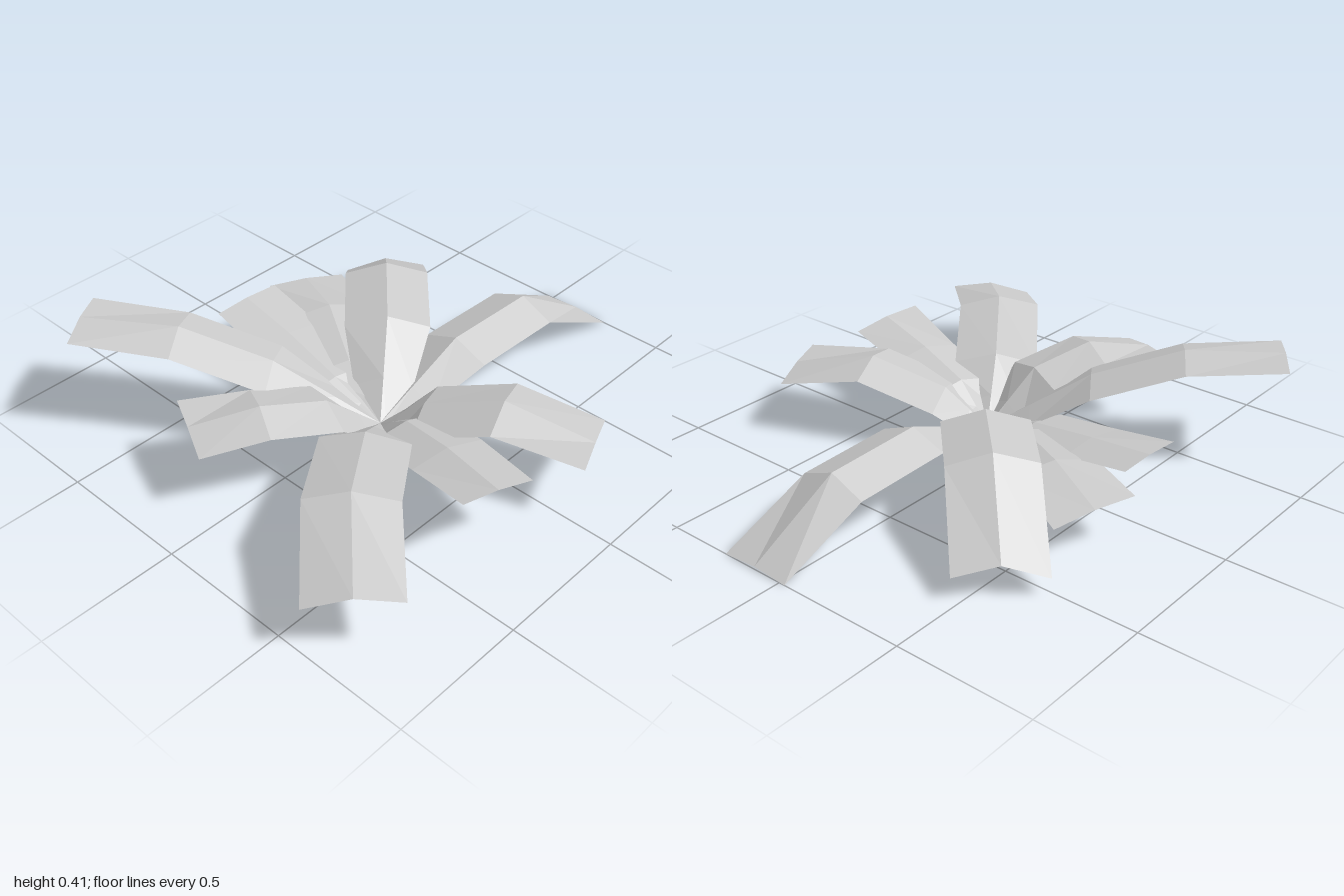
import * as THREE from 'three';

const CENTRE = [0.09, 0.075, 0.12];

// Each leaf: name, three ridge points (inner bend, outer bend, tip),
// half of the tip edge as a vector, edge drop along the leaf, edge drop at the tip
const LEAVES = [
  ['backLeaf', [0.09, 0.235, -0.28], [0.09, 0.225, -0.67], [0.115, 0.02, -1.0], [-0.138, 0, 0], 0.055, 0.01],
  ['backRightLeaf', [-0.11, 0.31, -0.13], [-0.34, 0.325, -0.37], [-0.58, 0.125, -0.62], [-0.11, -0.01, 0.11], 0.045, 0.045],
  ['backLeftLeaf', [0.24, 0.21, 0.06], [0.5, 0.3, -0.05], [0.8, 0.225, -0.16], [-0.06, -0.014, -0.14], 0.037, 0.01],
  ['leftLeaf', [0.25, 0.2, 0.16], [0.48, 0.25, 0.215], [0.75, 0.28, 0.285], [0.03, -0.02, -0.135], 0.03, 0.01],
  ['frontLeftLeaf', [0.23, 0.25, 0.34], [0.46, 0.33, 0.64], [0.715, 0.245, 0.895], [0.115, 0.017, -0.105], 0.038, 0.03],
  ['frontLeaf', [0.03, 0.26, 0.32], [-0.06, 0.315, 0.54], [-0.195, 0.27, 0.74], [0.125, -0.018, 0.06], 0.035, 0.01],
  ['frontRightLeaf', [-0.22, 0.305, 0.33], [-0.49, 0.415, 0.515], [-0.78, 0.418, 0.715], [0.08, 0, 0.115], 0.038, 0.015],
  ['rightLeaf', [-0.13, 0.165, 0.12], [-0.4, 0.21, 0.09], [-0.65, 0.24, 0.07], [-0.005, 0, 0.137], 0.02, 0.008],
  ['rightRearLeaf', [-0.15, 0.18, 0.03], [-0.41, 0.22, -0.13], [-0.655, 0.175, -0.243], [-0.055, 0.017, 0.1425], 0.03, 0.01],
];

// Creased strip: a raised ridge with a lower edge on each side,
// narrowing at the plant's centre and ending in a short root point behind it
function leafGeometry(inner, outer, tip, tipEdge, drop, tipDrop) {
  const v = (p) => new THREE.Vector3(...p);
  const centre = v(CENTRE), p1 = v(inner), tipSide = v(tipEdge);
  const half = Math.hypot(tipSide.x, tipSide.z);
  const neck = centre.clone().lerp(p1, 0.42);
  const root = p1.clone().sub(centre).setY(0).setLength(-0.07).add(centre);
  root.y = 0.045;
  const ridge = [root, centre, neck, p1, v(outer), v(tip)];
  const halves = [0.003, 0.02, half * 0.68, half, half];
  const drops = [0, 0.01, 0.04, drop, drop, tipDrop];

  const positions = [];
  ridge.forEach((p, i) => {
    let side = tipSide;
    if (i < 5) {
      const dir = ridge[i + 1].clone().sub(ridge[Math.max(i - 1, 0)]).setY(0).normalize();
      side = new THREE.Vector3(dir.z, 0, -dir.x).multiplyScalar(halves[i]);
    }
    for (const s of [1, 0, -1]) {
      const q = p.clone().addScaledVector(side, s);
      if (s !== 0) q.y -= drops[i];
      positions.push(q.x, Math.max(0, q.y), q.z);
    }
  });

  // Two faces across, wound so the front faces up
  const index = [];
  for (let i = 0; i < 5; i++) {
    for (let j = 0; j < 2; j++) {
      const a = i * 3 + j, b = a + 1, c = a + 3, d = a + 4;
      index.push(a, b, c, b, d, c);
    }
  }
  const g = new THREE.BufferGeometry();
  g.setAttribute('position', new THREE.Float32BufferAttribute(positions, 3));
  g.setIndex(index.reverse());
  const flat = g.toNonIndexed();
  flat.computeVertexNormals();
  return flat;
}

export function createModel() {
  const model = new THREE.Group();
  model.name = 'leafyPlant';
  const leafGrey = new THREE.MeshStandardMaterial({ color: 0xcccccc, flatShading: true, side: THREE.DoubleSide });
  leafGrey.name = 'leafGrey';

  for (const [name, ...shape] of LEAVES) {
    const leaf = new THREE.Mesh(leafGeometry(...shape), leafGrey);
    leaf.name = name;
    model.add(leaf);
  }
  return model;
}
